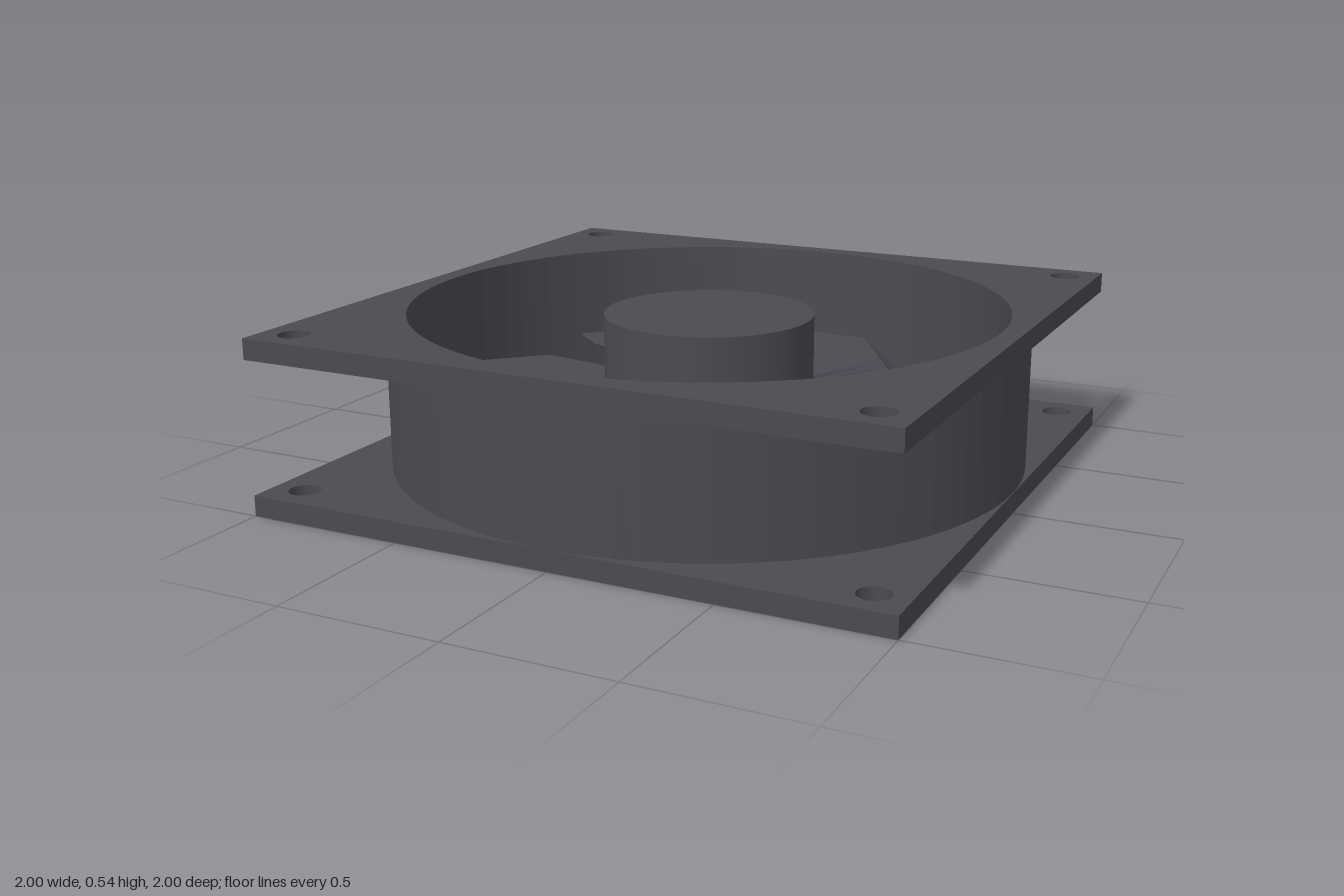
import * as THREE from 'three';

const plastic = () => {
  const m = new THREE.MeshStandardMaterial({ color: 0x4b4a52 });
  m.name = 'charcoal plastic';
  return m;
};

// Extrude a plan shape upwards from y0 to y1
function slab(shape, y0, y1, segments = 48) {
  const g = new THREE.ExtrudeGeometry(shape, {
    depth: y1 - y0, bevelEnabled: false, curveSegments: segments,
  });
  return g.rotateX(-Math.PI / 2).translate(0, y0, 0);
}

function circlePath(x, y, r) {
  return new THREE.Path().absarc(x, y, r, 0, Math.PI * 2, true);
}

// Square plate with the big opening and four screw holes
function flangeShape(half, opening) {
  const s = new THREE.Shape();
  s.moveTo(-half, -half).lineTo(half, -half).lineTo(half, half).lineTo(-half, half).closePath();
  s.holes.push(circlePath(0, 0, opening));
  for (const x of [-1, 1]) for (const y of [-1, 1]) s.holes.push(circlePath(x * 0.897, y * 0.897, 0.048));
  return s;
}

// Blade outline swept upwards while turning about the hub axis
function bladeGeometry(y0, y1, twist) {
  const outline = [
    [0.15, 0.2], [0.337, 0.644], [0.19, 0.885],
    [-0.086, 0.906], [-0.093, 0.74], [-0.005, 0.24],
  ].map(([x, y]) => new THREE.Vector2(x, y));
  const h = y1 - y0;
  const g = new THREE.ExtrudeGeometry(new THREE.Shape(outline), {
    depth: h, steps: 12, bevelEnabled: false,
  });
  const p = g.attributes.position;
  const v = new THREE.Vector3();
  const axis = new THREE.Vector3(0, 0, 1);
  for (let i = 0; i < p.count; i++) {
    v.fromBufferAttribute(p, i);
    v.applyAxisAngle(axis, -twist * (1 - v.z / h));
    p.setXYZ(i, v.x, v.y, v.z);
  }
  g.computeVertexNormals();
  return g.rotateX(-Math.PI / 2).translate(0, y0, 0);
}

export function createModel() {
  const model = new THREE.Group();
  model.name = 'coolingFan';
  const mat = plastic();
  const add = (name, geometry, parent = model) => {
    const mesh = new THREE.Mesh(geometry, mat);
    mesh.name = name;
    parent.add(mesh);
    return mesh;
  };

  const H = 0.54, T = 0.064, R = 0.935;

  // Housing: two flanges joined by a round duct
  const flange = flangeShape(1, R);
  add('bottomFlange', slab(flange, 0, T));
  add('topFlange', slab(flange, H - T, H));
  const ring = new THREE.Shape().absarc(0, 0, 0.998, 0, Math.PI * 2, false);
  ring.holes.push(circlePath(0, 0, R));
  add('duct', slab(ring, T, H - T));

  // Diagonal support cross under the hub
  for (const s of [-1, 1]) {
    const strut = add('supportStrut', new THREE.BoxGeometry(2 * R + 0.02, T - 0.002, 0.065));
    strut.position.y = T / 2;
    strut.rotation.y = s * Math.PI / 4;
  }

  // Rotor: hub with seven twisted blades
  const rotor = new THREE.Group();
  rotor.name = 'rotor';
  model.add(rotor);
  add('hub', new THREE.CylinderGeometry(0.33, 0.33, 0.475, 64).translate(0, 0.2725, 0), rotor);
  const blade = bladeGeometry(0.1, 0.25, THREE.MathUtils.degToRad(18));
  const count = 7;
  for (let i = 0; i < count; i++) {
    add('blade', blade, rotor).rotation.y = (i / count) * Math.PI * 2;
  }
  return model;
}
